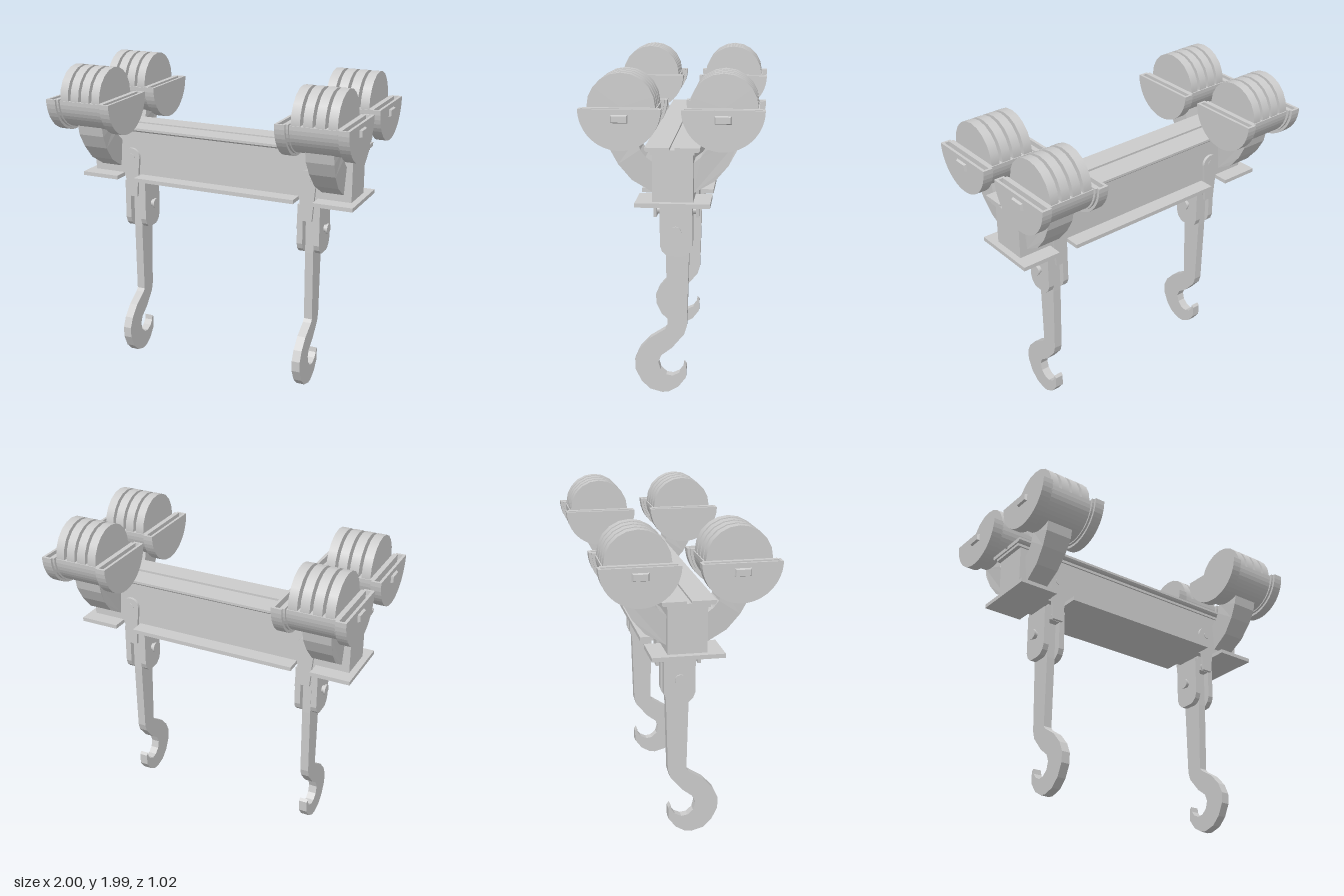
import * as THREE from 'three';

const mat = new THREE.MeshStandardMaterial({ color: 0xcccccc, side: THREE.DoubleSide });

function add(parent, name, geometry, x = 0, y = 0, z = 0) {
  const mesh = new THREE.Mesh(geometry, mat);
  mesh.name = name;
  mesh.position.set(x, y, z);
  parent.add(mesh);
  return mesh;
}

const poly = (pts) => new THREE.Shape(pts.map(([a, b]) => new THREE.Vector2(a, b)));
const box = (x, y, z) => new THREE.BoxGeometry(x, y, z);

// Extrude an outline, centred on its thickness, along z
function alongZ(shape, depth, curveSegments = 12) {
  const g = new THREE.ExtrudeGeometry(shape, { depth, bevelEnabled: false, curveSegments });
  return g.translate(0, 0, -depth / 2);
}

// Extrude a (z, y) outline along x
const alongX = (shape, depth, seg) => alongZ(shape, depth, seg).rotateY(-Math.PI / 2);

// Lower half of a disc, or of a ring when an inner radius is given
function halfDisc(r, inner = 0) {
  const s = new THREE.Shape();
  s.absarc(0, 0, r, Math.PI, Math.PI * 2, false);
  if (inner) s.absarc(0, 0, inner, Math.PI * 2, Math.PI, true);
  s.closePath();
  return s;
}

function makeBeam() {
  const beam = new THREE.Group();
  beam.name = 'beam';
  add(beam, 'beamBody', box(1.77, 0.29, 0.23), 0, 1.395, 0);
  add(beam, 'topPlate', box(1.82, 0.02, 0.25), 0, 1.543, 0);
  // Two rails with a slot between them
  for (const t of [1, -1]) {
    const rail = poly([[0.015, 1.55], [0.145, 1.55], [0.155, 1.56], [0.155, 1.575], [0.015, 1.575]].map(([z, y]) => [z * t, y]));
    add(beam, 'topRail', alongX(rail, 1.84));
  }
  add(beam, 'slotFloor', box(1.84, 0.012, 0.04), 0, 1.556, 0);
  // Bottom plate, notched where the straps pass
  const half = [[-0.925, 0.212]];
  for (const c of [-0.61, 0.61]) half.push([c - 0.062, 0.212], [c - 0.062, 0.112], [c + 0.062, 0.112], [c + 0.062, 0.212]);
  half.push([0.925, 0.212]);
  const outline = [...half, ...half.map(([x, z]) => [-x, -z])];
  add(beam, 'bottomPlate', alongZ(poly(outline), 0.025).rotateX(Math.PI / 2), 0, 1.2475, 0);
  return beam;
}

// Curved arm narrowing towards the beam
function armGeometry(t) {
  const pts = [[0.37, 1.62], [0.355, 1.55], [0.31, 1.465], [0.235, 1.375], [0.11, 1.3], [0.11, 1.475], [0.155, 1.51], [0.185, 1.55], [0.2, 1.62]];
  const g = alongX(poly(pts.map(([z, y]) => [z * t, y])), 0.175);
  const p = g.attributes.position;
  for (let i = 0; i < p.count; i++) {
    const k = THREE.MathUtils.clamp((1.55 - p.getY(i)) / 0.25, 0, 1);
    p.setX(i, p.getX(i) * (1 - 0.2 * k));
  }
  g.computeVertexNormals();
  return g;
}

// Half-round cradle holding four sheaves; s is the side, t front or back
function makeRoller(s, t) {
  const roller = new THREE.Group();
  roller.name = 'rollerUnit';
  const y = 1.795, z = 0.283 * t;
  add(roller, 'cradle', alongX(halfDisc(0.195), 0.33, 12), s * 0.765, y - 0.01, z);
  for (const [c, w] of [[0.953, 0.064], [0.572, 0.064]]) {
    // Hollow flange: rim, two cheeks and a collar facing the sheaves
    add(roller, 'flangeRim', alongX(halfDisc(0.228, 0.212), w, 12), s * c, y, z);
    for (const e of [1, -1]) add(roller, 'flangeCheek', alongX(halfDisc(0.228), 0.017, 12), s * (c + e * (w / 2 - 0.0085)), y, z);
    const inward = Math.sign(0.765 - c);
    add(roller, 'flangeCollar', alongX(halfDisc(0.212), 0.014, 12), s * (c + inward * (w / 2 + 0.007)), y, z);
  }
  // Sheaves with narrow gaps on a shared axle
  for (let i = 0; i < 4; i++) {
    const sheave = new THREE.CylinderGeometry(0.19, 0.19, 0.055, 20).rotateZ(Math.PI / 2);
    add(roller, 'sheave', sheave, s * (0.877 - i * 0.0745), y, z);
  }
  add(roller, 'axle', new THREE.CylinderGeometry(0.05, 0.05, 0.34, 12).rotateZ(Math.PI / 2), s * 0.765, y - 0.055, z);
  // Tapered cap on the outer cheek
  const cap = box(0.02, 0.05, 0.1);
  const p = cap.attributes.position;
  for (let i = 0; i < p.count; i++) {
    if (p.getX(i) * s > 0) p.setXYZ(i, p.getX(i), p.getY(i) * 0.7, p.getZ(i) * 0.82);
  }
  cap.computeVertexNormals();
  add(roller, 'axleCap', cap, s * 0.99, 1.743, z);
  add(roller, 'supportArm', armGeometry(t), s * 0.765, 0, 0);
  return roller;
}

// Tapered strap with a round eye
function strapShape() {
  const s = new THREE.Shape();
  s.moveTo(-0.035, 1.11);
  s.lineTo(0.035, 1.11);
  s.lineTo(0.042, 1.2);
  s.lineTo(0.058, 1.375);
  s.absarc(0, 1.375, 0.058, 0, Math.PI, false);
  s.lineTo(-0.042, 1.2);
  s.closePath();
  return s;
}

// Hook outline in (z, y)
const hookShape = poly([
  [0.065, 1.11], [0.065, 0.88], [0.055, 0.43], [0.07, 0.41], [0.163, 0.35], [0.226, 0.28], [0.255, 0.215], [0.253, 0.147],
  [0.216, 0.07], [0.163, 0.02], [0.09, 0], [0.05, 0.005], [-0.01, 0.04], [-0.055, 0.1], [-0.057, 0.175], [-0.042, 0.192],
  [-0.037, 0.16], [-0.015, 0.13], [0.026, 0.11], [0.065, 0.116], [0.1, 0.147], [0.113, 0.195], [0.095, 0.24],
  [0.03, 0.29], [-0.045, 0.38], [-0.06, 0.43], [-0.073, 0.88], [-0.073, 1.11],
]);

// Side plate of the hook clevis, rounded at the bottom
const clevisShape = poly([
  [-0.095, 1.2], [-0.095, 0.945], [-0.082, 0.91], [-0.055, 0.885], [-0.035, 0.88],
  [0.035, 0.88], [0.055, 0.885], [0.082, 0.91], [0.095, 0.945], [0.095, 1.2],
]);

function makeHanger(x) {
  const hanger = new THREE.Group();
  hanger.name = 'hookHanger';
  hanger.position.x = x;
  for (const t of [1, -1]) {
    add(hanger, 'strap', alongZ(strapShape(), 0.018), 0, 0, t * 0.125);
    add(hanger, 'strapPin', new THREE.CylinderGeometry(0.022, 0.022, 0.03, 12).rotateX(Math.PI / 2), 0, 1.375, t * 0.122);
    add(hanger, 'clevisPlate', alongX(clevisShape, 0.037), t * 0.055, 0, 0);
    add(hanger, 'pinHead', new THREE.CylinderGeometry(0.033, 0.033, 0.012, 12).rotateZ(Math.PI / 2), t * 0.095, 1.035, 0);
  }
  add(hanger, 'clevisBlock', box(0.1, 0.1, 0.19), 0, 1.17, 0);
  add(hanger, 'crossPin', new THREE.CylinderGeometry(0.028, 0.028, 0.262, 12).rotateX(Math.PI / 2), 0, 1.15, 0);
  add(hanger, 'hookPin', new THREE.CylinderGeometry(0.024, 0.024, 0.2, 12).rotateZ(Math.PI / 2), 0, 1.035, 0);
  add(hanger, 'hook', alongX(hookShape, 0.054));
  return hanger;
}

export function createModel() {
  const model = new THREE.Group();
  model.name = 'liftingBeam';
  model.add(makeBeam());
  for (const s of [1, -1]) {
    for (const t of [1, -1]) model.add(makeRoller(s, t));
    model.add(makeHanger(s * 0.607));
  }
  return model;
}
